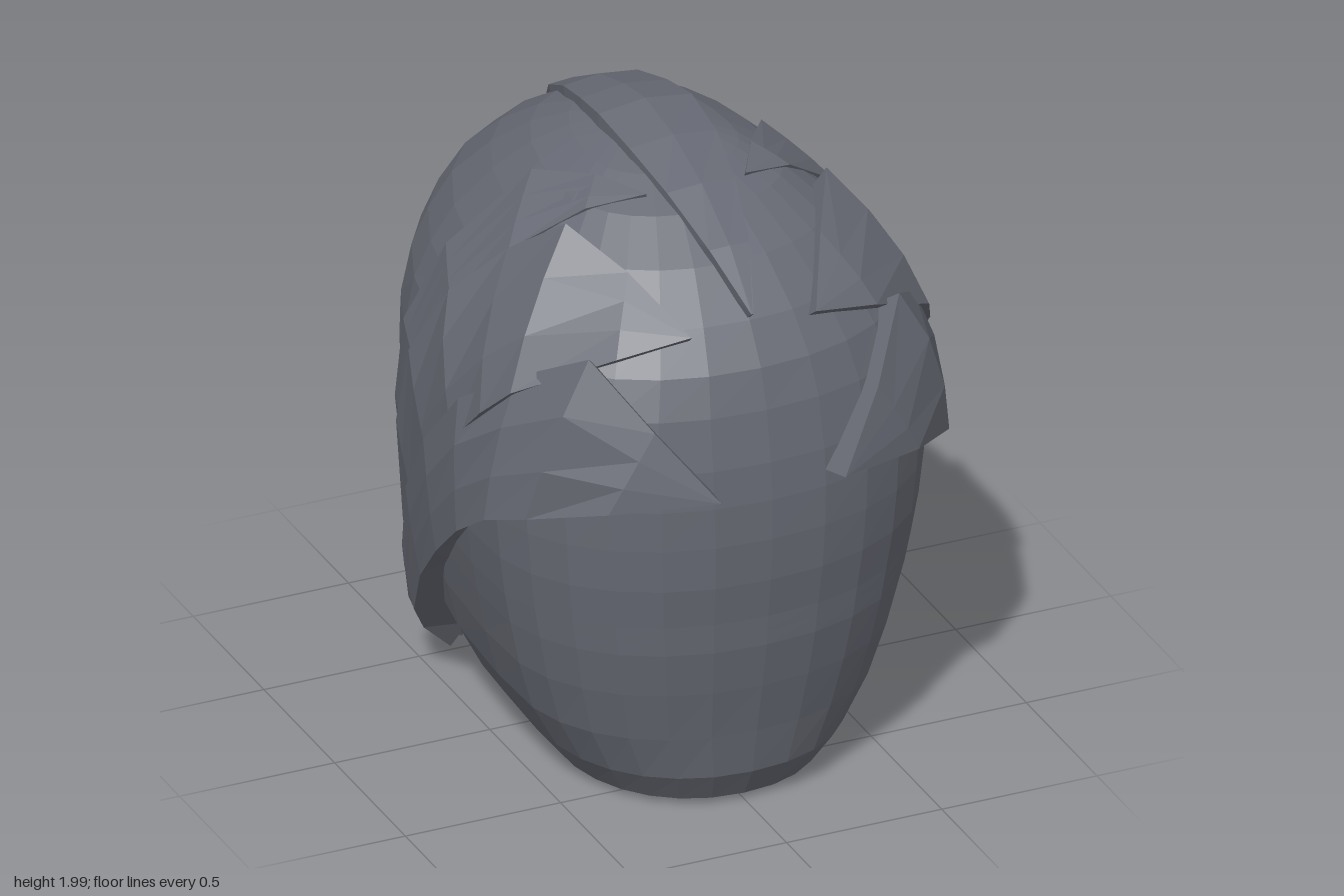
import * as THREE from 'three';

const CENTRE = new THREE.Vector3(0, 1, 0);
const FRONT_POWER = 2.15; // squareness of the front half of each section

// Horizontal sections: height, front z, back z, half width, half width of the rear opening, rear squareness
const SECTIONS = [
  [0.03, 0.70, -0.64, 0.39, 0.17, 3.2], [0.13, 0.76, -0.78, 0.46, 0.17, 2.9], [0.28, 0.79, -0.87, 0.545, 0.17, 2.6],
  [0.45, 0.83, -0.93, 0.60, 0.17, 2.4], [0.60, 0.86, -0.96, 0.635, 0.17, 2.25], [0.65, 0.865, -0.96, 0.645, 0.25, 2.25],
  [0.70, 0.87, -0.96, 0.655, 0.32, 2.25], [0.83, 0.89, -0.96, 0.675, 0.44, 2.25], [0.97, 0.90, -0.95, 0.69, 0.46, 2.25],
  [1.10, 0.90, -0.94, 0.70, 0.38, 2.25], [1.16, 0.895, -0.93, 0.70, 0.30, 2.25], [1.22, 0.89, -0.92, 0.70, 0.21, 2.25],
  [1.38, 0.86, -0.86, 0.68, 0.16, 2.25], [1.50, 0.82, -0.81, 0.63, 0.10, 2.25], [1.62, 0.74, -0.73, 0.56, 0, 2.25],
  [1.75, 0.61, -0.58, 0.45, 0, 2.25], [1.85, 0.46, -0.42, 0.34, 0, 2.25], [1.91, 0.31, -0.27, 0.23, 0, 2.25],
  [1.945, 0.16, -0.13, 0.12, 0, 2.25], [1.96, 0.02, -0.02, 0.02, 0, 2.25],
];

function sectionAt(y) {
  let i = 0;
  while (i < SECTIONS.length - 2 && y > SECTIONS[i + 1][0]) i++;
  const a = SECTIONS[i], b = SECTIONS[i + 1];
  const t = THREE.MathUtils.clamp((y - a[0]) / (b[0] - a[0]), 0, 1);
  const [, front, back, width, gap, power] = a.map((v, k) => v + (b[k] - v) * t);
  return { front, back, width, gap, power, mid: front * 0.37 };
}

// Half width of the shell at a height and depth
function halfWidth(y, z) {
  const s = sectionAt(y);
  const ahead = z > s.mid;
  const power = ahead ? FRONT_POWER : s.power;
  const depth = Math.abs(z - s.mid) / (ahead ? s.front - s.mid : s.mid - s.back);
  return s.width * Math.pow(Math.max(0, 1 - Math.pow(depth, power)), 1 / power);
}

// Point where a ray from the centre meets the shell, pushed inward by sink
function onShell(dir, sink = 0) {
  let lo = 0, hi = 2;
  for (let k = 0; k < 30; k++) {
    const m = (lo + hi) / 2;
    const p = CENTRE.clone().addScaledVector(dir, m);
    if (p.y > 0.03 && p.y < 1.96 && Math.abs(p.x) < halfWidth(p.y, p.z)) lo = m; else hi = m;
  }
  return CENTRE.clone().addScaledVector(dir, lo - sink);
}

// Thick sheet from matching outer and inner grids of points, closed around its border
function sheet(outer, inner) {
  const pos = [];
  const tri = (a, b, c) => {
    const area = b.clone().sub(a).cross(c.clone().sub(a)).length();
    if (area > 1e-7) for (const p of [a, b, c]) pos.push(p.x, p.y, p.z);
  };
  const quad = (a, b, c, d) => { tri(a, b, c); tri(a, c, d); };
  const m = outer.length - 1, n = outer[0].length - 1;
  for (let i = 0; i < m; i++) {
    for (let j = 0; j < n; j++) {
      quad(outer[i][j], outer[i][j + 1], outer[i + 1][j + 1], outer[i + 1][j]);
      quad(inner[i][j], inner[i + 1][j], inner[i + 1][j + 1], inner[i][j + 1]);
    }
    quad(outer[i][0], outer[i + 1][0], inner[i + 1][0], inner[i][0]);
    quad(outer[i + 1][n], outer[i][n], inner[i][n], inner[i + 1][n]);
  }
  for (let j = 0; j < n; j++) {
    quad(outer[0][j + 1], outer[0][j], inner[0][j], inner[0][j + 1]);
    quad(outer[m][j], outer[m][j + 1], inner[m][j + 1], inner[m][j]);
  }
  const g = new THREE.BufferGeometry();
  g.setAttribute('position', new THREE.Float32BufferAttribute(pos, 3));
  g.computeVertexNormals();
  return g;
}

// Hollow head shell, open at the neck and down the back
function shellGeometry() {
  const fixed = 9, rear = 4, fixedAngle = 2.1; // only the rear columns follow the opening
  const outer = SECTIONS.map(([y]) => {
    const s = sectionAt(y);
    const end = Math.PI - Math.asin(Math.pow(s.gap / s.width, s.power / 2));
    return Array.from({ length: 2 * (fixed + rear) + 1 }, (_, j) => {
      const k = Math.abs(j - fixed - rear), side = Math.sign(j - fixed - rear);
      const a = k <= fixed ? fixedAngle * k / fixed : fixedAngle + (end - fixedAngle) * (k - fixed) / rear;
      const c = Math.cos(a);
      const e = 2 / (c > 0 ? FRONT_POWER : s.power);
      const depth = Math.pow(Math.abs(c), e) * (c > 0 ? s.front - s.mid : s.back - s.mid);
      return new THREE.Vector3(side * s.width * Math.pow(Math.abs(Math.sin(a)), e), y, s.mid + depth);
    });
  });
  const inner = outer.map((row, i) => row.map((p) => {
    const q = p.clone().sub(CENTRE).multiplyScalar(0.89).add(CENTRE);
    if (i === 0) q.y = 0.03;
    return q;
  }));
  return sheet(outer, inner);
}

// Edge point [z, y] lies on the shell plus lift; [z, y, x] is an exact position
function edgePoint([z, y, x], lift) {
  if (x !== undefined) {
    const exact = new THREE.Vector3(x, y, z);
    const dir = exact.clone().sub(CENTRE).normalize();
    return { dir, offset: exact.sub(onShell(dir)) };
  }
  const dir = new THREE.Vector3(halfWidth(y, z), y, z).sub(CENTRE).normalize();
  const offset = dir.clone();
  if (offset.y < 0) offset.y *= 0.4;
  return { dir, offset: offset.setLength(lift * (1 + Math.max(0, 0.6 - y))) };
}

// Raised sweeping band between a lower and a rear edge
function bandGeometry({ lower, rear, lift }, side) {
  const steps = 3;
  const a = lower.map((p) => edgePoint(p, lift)), b = rear.map((p) => edgePoint(p, lift));
  const outer = [], inner = [];
  for (let i = 0; i <= steps; i++) {
    const t = i / steps, top = [], under = [];
    a.forEach((p, j) => {
      const dir = p.dir.clone().lerp(b[j].dir, t).normalize();
      const point = onShell(dir).add(p.offset.clone().lerp(b[j].offset, t));
      point.y = Math.max(point.y, 0.005);
      top.push(point);
      under.push(onShell(dir, 0.02));
    });
    if (side < 0) {
      for (const row of [top, under]) { row.forEach((p) => { p.x *= -1; }); row.reverse(); }
    }
    outer.push(top);
    inner.push(under);
  }
  return sheet(outer, inner);
}

// Tapered centre plate from rows of [half width, y, z]
function plateGeometry(rows, depth) {
  const toCentre = (p, k) => p.sub(CENTRE).multiplyScalar(k).add(CENTRE);
  const outer = rows.map(([w, y, z]) => [-1, 0, 1].map((s) =>
    toCentre(new THREE.Vector3(0, y, z), s ? 1 - w * w * 0.9 : 1).setX(s * w)));
  const inner = outer.map((row) => row.map((p) => toCentre(p.clone(), 1 - depth).setX(p.x)));
  return sheet(outer, inner);
}

const BANDS = {
  browBand: {
    lift: 0.075,
    lower: [[0.98, 1.17, 0.2], [0.84, 1.13, 0.5], [0.6, 1.06], [0.45, 1.0], [0.28, 0.88], [0.1, 0.72],
      [-0.1, 0.53], [-0.29, 0.31], [-0.41, 0.17], [-0.52, 0.01, 0.39]],
    rear: [[0.98, 1.17, 0.2], [0.86, 1.38, 0.36], [0.7, 1.58, 0.5], [0.5, 1.46, 0.64], [0.3, 1.31, 0.74], [0.1, 1.08],
      [-0.1, 0.82], [-0.29, 0.52], [-0.42, 0.27], [-0.54, 0.03, 0.38]],
  },
  middleBand: {
    lift: 0.05,
    lower: [[0.77, 1.62, 0.2], [0.72, 1.57, 0.42], [0.5, 1.4], [0.4, 1.3], [0.25, 1.15], [0.08, 0.98],
      [-0.12, 0.7], [-0.3, 0.42], [-0.42, 0.22], [-0.53, 0.03, 0.35]],
    rear: [[0.77, 1.62, 0.2], [0.56, 1.76, 0.31], [0.36, 1.85, 0.42], [0.19, 1.71, 0.53], [0.05, 1.5], [-0.1, 1.25],
      [-0.25, 0.95], [-0.41, 0.53], [-0.51, 0.28], [-0.6, 0.06, 0.37]],
  },
  upperBand: {
    lift: 0.028,
    lower: [[0.36, 1.89, 0.16], [0.3, 1.85, 0.33], [0.18, 1.68], [0.05, 1.48], [-0.1, 1.22], [-0.25, 0.92],
      [-0.41, 0.5], [-0.5, 0.27], [-0.58, 0.07, 0.34]],
    rear: [[0.36, 1.89, 0.16], [0.2, 1.9, 0.25], [0.01, 1.85, 0.37], [-0.13, 1.56], [-0.26, 1.27], [-0.41, 0.94],
      [-0.52, 0.6], [-0.59, 0.35], [-0.65, 0.13, 0.36]],
  },
};

export function createModel() {
  const group = new THREE.Group();
  const grey = new THREE.MeshStandardMaterial({ color: 0x676a74, flatShading: true, side: THREE.DoubleSide });
  grey.name = 'slate grey';
  const add = (name, geometry) => {
    const mesh = new THREE.Mesh(geometry, grey);
    mesh.name = name;
    group.add(mesh);
  };

  add('shell', shellGeometry());

  // Three overlapping bands on each side
  for (const [name, band] of Object.entries(BANDS)) {
    add(name + 'Left', bandGeometry(band, 1));
    add(name + 'Right', bandGeometry(band, -1));
  }

  // Crest along the top
  add('crest', plateGeometry([[0.004, 1.65, 0.76], [0.065, 1.8, 0.6], [0.11, 1.91, 0.4], [0.14, 1.975, 0.2],
    [0.15, 2.0, 0], [0.14, 1.975, -0.15], [0.12, 1.925, -0.32], [0.08, 1.82, -0.51], [0.004, 1.68, -0.69]], 0.1));

  // Spike hanging over the rear opening
  add('rearSpike', plateGeometry([[0.004, 1.61, -0.76], [0.13, 1.4, -0.86], [0.11, 1.2, -0.94],
    [0.03, 0.92, -0.99]], 0.07));

  return group;
}
